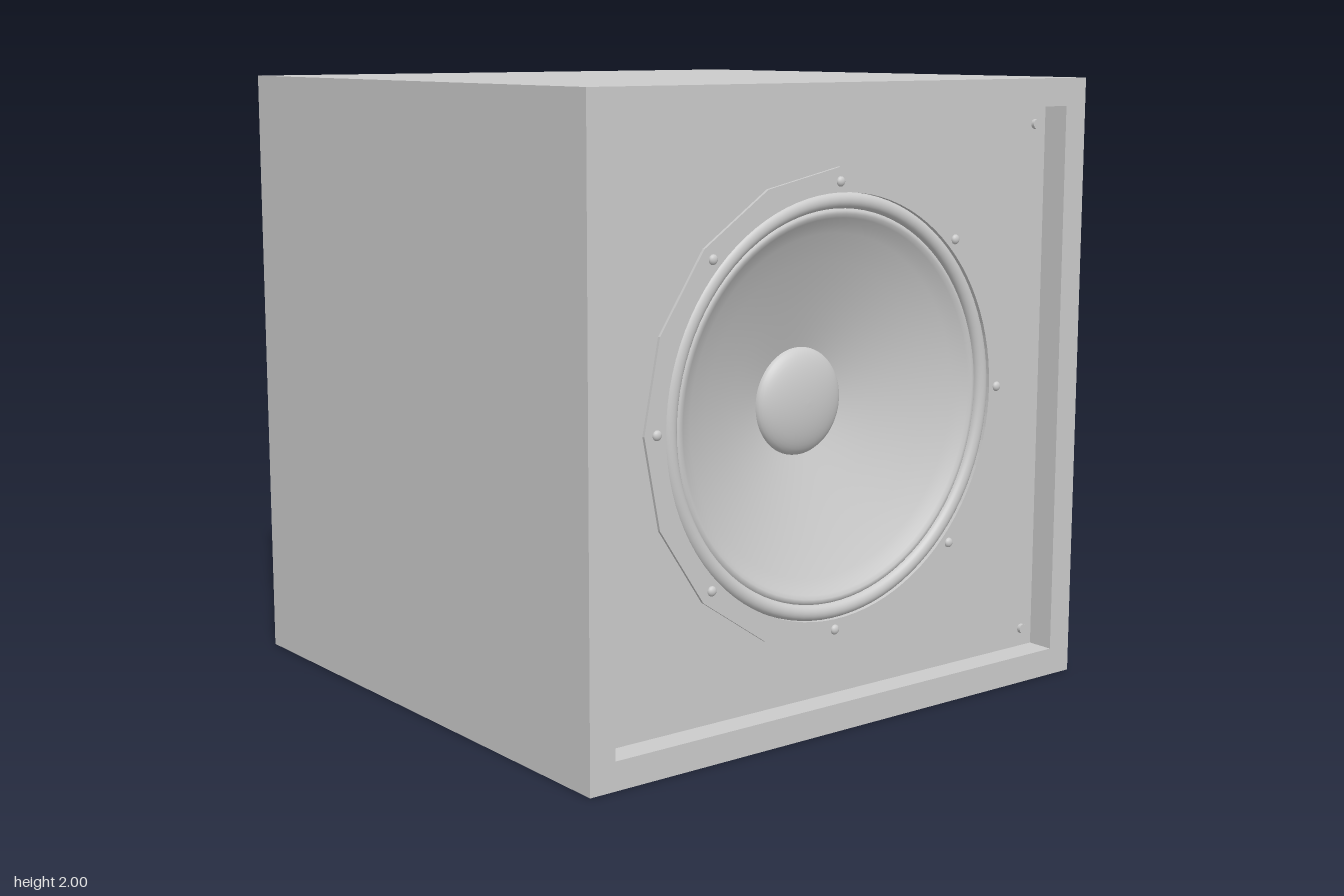
import * as THREE from 'three';

const HALF_DEPTH = 0.96, WALL = 0.09, RECESS = 0.09;
const FACE = HALF_DEPTH - RECESS; // z of the recessed panels

export function createModel() {
  const model = new THREE.Group();
  const grey = new THREE.MeshStandardMaterial({ color: 0xcccccc });
  const greyThin = new THREE.MeshStandardMaterial({ color: 0xcccccc, side: THREE.DoubleSide });

  const add = (name, geometry, material = grey, parent = model) => {
    const mesh = new THREE.Mesh(geometry, material);
    mesh.name = name;
    parent.add(mesh);
    return mesh;
  };
  const square = (half) => [[-1, -1], [1, -1], [1, 1], [-1, 1]]
    .map(([x, y]) => new THREE.Vector2(x * half, y * half));
  const circle = (r, n) => Array.from({ length: n }, (_, i) =>
    new THREE.Vector2(r * Math.cos(i * 2 * Math.PI / n), r * Math.sin(i * 2 * Math.PI / n)));
  // Flat plate with an optional opening, extruded towards +z
  const plate = (outline, hole, depth) => {
    const shape = new THREE.Shape(outline);
    if (hole) shape.holes.push(new THREE.Path(hole));
    return new THREE.ExtrudeGeometry(shape, { depth, bevelEnabled: false });
  };
  // Turned surface facing +z; profile runs from outer radius to inner
  const turned = (profile) => new THREE.LatheGeometry(
    profile.map(([r, z]) => new THREE.Vector2(r, z)), 96).rotateX(Math.PI / 2);

  // Cabinet: a square sleeve closed by a recessed panel at each end
  const inner = 1 - WALL;
  add('cabinet', plate(square(1), square(inner), 2 * HALF_DEPTH)).position.set(0, 1, -HALF_DEPTH);
  add('frontBaffle', plate(square(inner), circle(0.667, 96), 0.05)).position.set(0, 1, FACE - 0.05);
  add('backPanel', plate(square(inner), null, 0.05)).position.set(0, 1, -FACE);

  // Panel screws in the corners, front and back
  const screwGeometry = new THREE.CylinderGeometry(0.016, 0.016, 0.024, 16).rotateX(Math.PI / 2);
  for (const side of [1, -1])
    for (const x of [-0.86, 0.86])
      for (const y of [-0.85, 0.85])
        add('panelScrew', screwGeometry).position.set(x, 1 + y, side * FACE);

  // Loudspeaker driver
  const driver = new THREE.Group();
  driver.name = 'driver';
  driver.position.set(0, 1, FACE);
  model.add(driver);

  // Sixteen-sided mounting flange with eight bolts
  add('flange', plate(circle(0.745, 16), circle(0.667, 96), 0.01), grey, driver);
  const boltGeometry = new THREE.SphereGeometry(0.016, 16, 6, 0, Math.PI * 2, 0, Math.PI / 2)
    .scale(1, 0.7, 1).rotateX(Math.PI / 2);
  for (let i = 0; i < 8; i++) {
    const a = i * Math.PI / 4;
    add('flangeBolt', boltGeometry, grey, driver)
      .position.set(0.7 * Math.cos(a), 0.7 * Math.sin(a), 0.01);
  }

  // Rubber surround: a half roll
  const roll = Array.from({ length: 13 }, (_, i) => {
    const a = i * Math.PI / 12;
    return [0.642 + 0.025 * Math.cos(a), -0.01 + 0.022 * Math.sin(a)];
  });
  add('surround', turned(roll), greyThin, driver);

  // Cone with a softly rounded lip
  add('cone', turned([[0.617, -0.01], [0.61, -0.004], [0.6, -0.004], [0.588, -0.011],
    [0.57, -0.024], [0.54, -0.04], [0.45, -0.08], [0.3, -0.137], [0.165, -0.18]]), greyThin, driver);

  // Domed dust cap
  const dome = Array.from({ length: 13 }, (_, i) => {
    const a = i * Math.PI / 24;
    return [0.172 * Math.cos(a), -0.18 + 0.055 * Math.sin(a)];
  });
  add('dustCap', turned(dome), greyThin, driver);

  return model;
}
